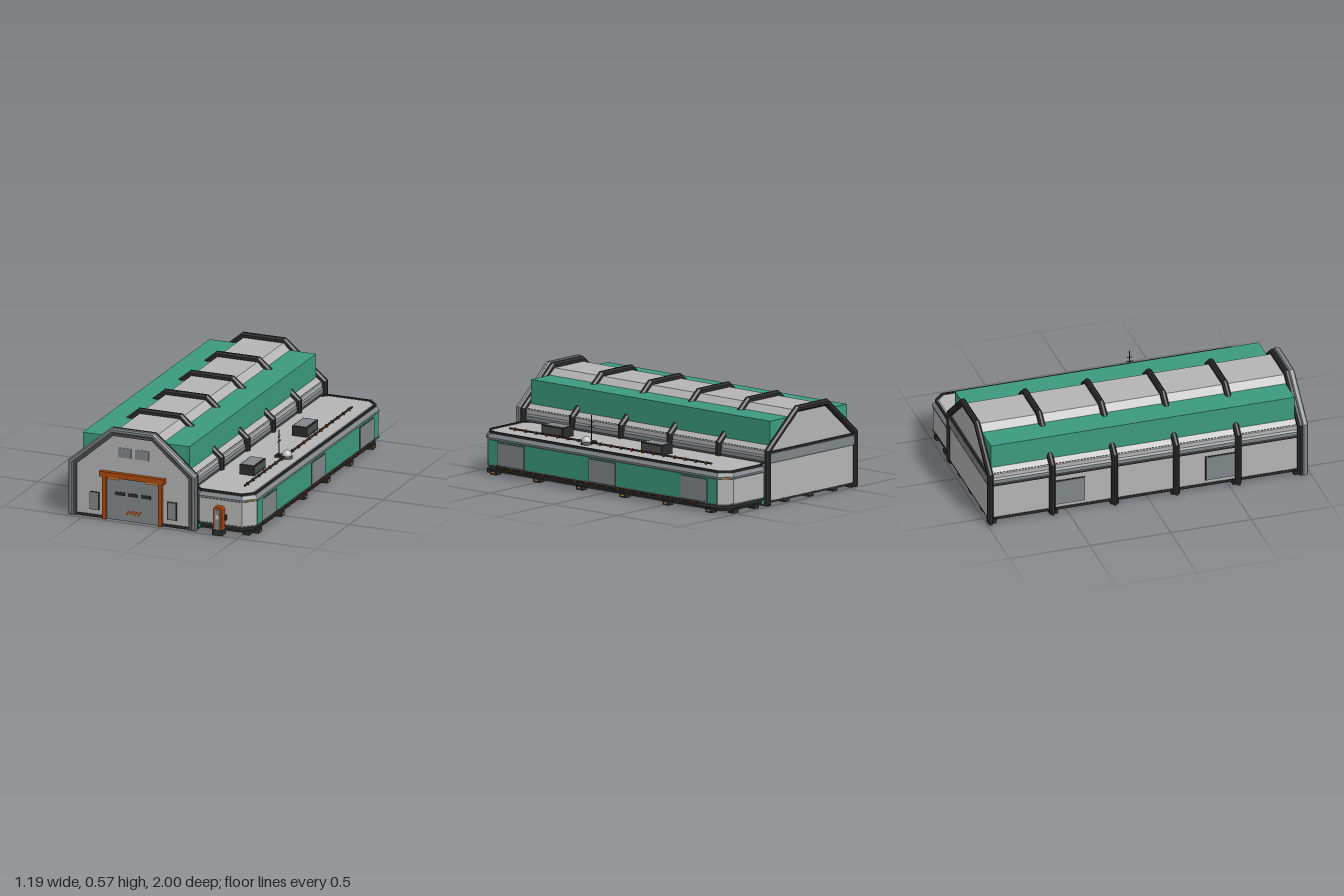
import * as THREE from 'three';

const mat = (name, color, side = THREE.FrontSide) => {
  const m = new THREE.MeshStandardMaterial({ color, side });
  m.name = name;
  return m;
};

export function createModel() {
  const light = mat('light grey panel', 0xb4b4b4);
  const mid = mat('mid grey metal', 0x80868a);
  const dark = mat('dark grey metal', 0x4c504f);
  const black = mat('black trim', 0x2b2b2c);
  const green = mat('green cladding', 0x3c9a7e);
  const orange = mat('orange steel', 0xaa480c);
  const amber = mat('amber lamp', 0xd08c38);
  const pale = mat('pale dome', 0xc4c6c8);

  const root = new THREE.Group();
  root.name = 'hangar';
  const add = (name, geo, m, parent = root) => {
    const mesh = new THREE.Mesh(geo, m);
    mesh.name = name;
    parent.add(mesh);
    return mesh;
  };
  // box given by its limits on each axis
  const box = (name, m, x0, x1, y0, y1, z0, z1, parent = root) => {
    const mesh = add(name, new THREE.BoxGeometry(x1 - x0, y1 - y0, z1 - z0), m, parent);
    mesh.position.set((x0 + x1) / 2, (y0 + y1) / 2, (z0 + z1) / 2);
    return mesh;
  };
  const group = (name, x = 0) => {
    const g = new THREE.Group();
    g.name = name;
    g.position.x = x;
    root.add(g);
    return g;
  };
  const extrude = (pts, z0, z1, b = 0) => {
    const g = new THREE.ExtrudeGeometry(new THREE.Shape(pts.map(p => new THREE.Vector2(...p))), {
      depth: z1 - z0 - 2 * b, bevelEnabled: b > 0, bevelThickness: b, bevelSize: b,
      bevelOffset: -b, bevelSegments: 1,
    });
    return g.translate(0, 0, z0 + b);
  };

  // ---------- main hall, built around its own centre line ----------
  const hall = group('mainHall', -0.187);

  // six-sided gable outline, moved inward by t
  const arch = (t, y0 = 0) => {
    const w = 0.41 - t, e = 0.34 - 0.47 * t, a = 0.14 - 0.36 * t, h = 0.57 - t;
    return [[w, y0], [w, e], [a, h], [-a, h], [-w, e], [-w, y0]];
  };
  const ring = (t0, t1) => [...arch(t0), ...arch(t1).reverse()];

  add('hallBody', extrude(arch(0.033, 0.022), -0.975, 0.945), light, hall);
  box('hallFloor', green, -0.372, 0.372, 0.016, 0.022, -0.98, 0.95, hall);
  box('hallSkirt', black, -0.381, 0.381, 0.02, 0.036, -0.985, 0.94, hall);

  const ribZ = [-0.98, -0.595, -0.21, 0.172, 0.556, 0.94];
  ribZ.forEach(z => add('roofRib', extrude(ring(0.004, 0.042), z - 0.018, z + 0.018, 0.011), black, hall));

  for (const s of [-1, 1]) {
    const x = (a, b) => s > 0 ? [a, b] : [-b, -a];
    box('roofCladding', green, ...x(0.165, 0.342), 0.33, 0.5, -0.96, 0.92, hall);
    box('eaveTrim', black, ...x(0.345, 0.372), 0.314, 0.33, -0.97, 0.94, hall);
    const band = [[0.37, 0.255], [0.386, 0.265], [0.386, 0.288], [0.365, 0.315], [0.35, 0.315]];
    add('eaveBand', extrude(band.map(([a, b]) => [s * a, b]), -0.975, 0.94), mid, hall);
    box('eaveLine', dark, ...x(0.37, 0.388), 0.25, 0.257, -0.975, 0.94, hall);
  }
  // side wall shutters
  for (const z of [-0.49, 0.455]) {
    box('shutterFrame', black, -0.381, -0.375, 0.055, 0.215, z - 0.1, z + 0.1, hall);
    box('shutter', mid, -0.384, -0.378, 0.06, 0.21, z - 0.095, z + 0.095, hall);
  }
  // rear wall bands
  box('rearWall', light, -0.372, 0.372, 0.03, 0.26, -0.985, -0.97, hall);
  box('rearBand', mid, -0.376, 0.376, 0.26, 0.312, -0.992, -0.97, hall);
  box('rearTrim', black, -0.372, 0.372, 0.312, 0.324, -0.988, -0.97, hall);
  box('rearLine', dark, -0.374, 0.374, 0.252, 0.26, -0.989, -0.97, hall);

  // front wall and its stepped frame
  add('frontWall', extrude(arch(0.04), 0.94, 0.96), light, hall);
  add('frontFrameOuter', extrude(ring(0, 0.03), 0.948, 0.985, 0.008), mid, hall);
  add('frontFrameInner', extrude(ring(0.025, 0.048), 0.945, 0.975), dark, hall);
  for (const s of [-1, 1]) {
    const x = (a, b) => s > 0 ? [a, b] : [-b, -a];
    box('frontKick', black, ...x(0.188, 0.36), 0, 0.015, 0.95, 0.967, hall);
    box('sideDoorFrame', black, ...x(0.219, 0.28), 0.044, 0.156, 0.957, 0.964, hall);
    box('sideDoor', mid, ...x(0.224, 0.275), 0.049, 0.151, 0.96, 0.967, hall);
    box('gableWindow', mid, ...x(0.013, 0.099), 0.39, 0.45, 0.957, 0.963, hall);
    box('gatePost', orange, ...x(0.167, 0.19), 0, 0.27, 0.95, 0.983, hall);
    box('gateLamp', amber, ...x(0.088, 0.162), 0.252, 0.266, 0.955, 0.98, hall);
  }
  box('gateLintel', orange, -0.208, 0.208, 0.264, 0.296, 0.95, 0.986, hall);
  box('gate', mid, -0.168, 0.168, 0, 0.265, 0.95, 0.966, hall);
  for (const x of [-0.083, 0.001, 0.084])
    box('gateWindow', black, x - 0.031, x + 0.031, 0.155, 0.176, 0.963, 0.969, hall);
  for (let i = 0; i < 4; i++) {
    const x = -0.048 + i * 0.024;
    add('gateStripe', extrude([[x, 0.044], [x + 0.014, 0.044], [x + 0.03, 0.066], [x + 0.016, 0.066]], 0.964, 0.969), orange, hall);
  }

  // ---------- side annex: eight-sided rings stacked in y ----------
  const annex = group('annex');
  const loop = ([i, y]) => {
    const x0 = 0.19, x1 = 0.578 - i, z0 = -0.988 + i, z1 = 0.955 - i, c = 0.07 - 0.59 * i, d = 0.045;
    return [[x0 + d, z1], [x1 - c, z1], [x1, z1 - c], [x1, z0 + c], [x1 - c, z0], [x0 + d, z0],
      [x0, z0 + d], [x0, z1 - d]].map(([x, z]) => [x, y, z]);
  };
  const geoOf = tris => {
    const g = new THREE.BufferGeometry();
    g.setAttribute('position', new THREE.Float32BufferAttribute(tris.flat(), 3));
    g.computeVertexNormals();
    return g;
  };
  const loft = levels => {
    const t = [];
    for (let k = 0; k + 1 < levels.length; k++) {
      const a = loop(levels[k]), b = loop(levels[k + 1]);
      for (let i = 0; i < 8; i++) {
        const j = (i + 1) % 8;
        t.push(a[i], a[j], b[j], a[i], b[j], b[i]);
      }
    }
    return geoOf(t);
  };
  const cap = (level, up) => {
    const p = loop(level), t = [];
    for (let i = 1; i < 7; i++) t.push(p[0], ...(up ? [p[i], p[i + 1]] : [p[i + 1], p[i]]));
    return geoOf(t);
  };
  add('annexFloor', cap([0.035, 0.016], false), green, annex);
  add('annexSkirt', loft([[0.035, 0.016], [0.02, 0.016], [0.02, 0.028], [0.03, 0.028]]), black, annex);
  add('annexBase', loft([[0.026, 0.028], [0, 0.05], [0, 0.058]]), dark, annex);
  add('annexWall', loft([[0.004, 0.058], [0.004, 0.212]]), light, annex);
  add('annexCornice', loft([[0.004, 0.208], [-0.002, 0.212], [-0.002, 0.222], [0.016, 0.246]]), mid, annex);
  add('annexLip', loft([[0.014, 0.244], [0.014, 0.257], [0.026, 0.257], [0.026, 0.25]]), black, annex);
  add('annexRoofEdge', loft([[0.026, 0.25], [0.04, 0.254]]), mid, annex);
  add('annexRoof', cap([0.04, 0.254], true), light, annex);
  box('joint', green, 0.2, 0.238, 0.01, 0.2, -0.965, 0.93, annex);

  // outer wall cladding, shutters and lamps
  box('annexCladding', green, 0.57, 0.577, 0.06, 0.208, -0.912, 0.882, annex);
  for (const z of [-0.735, -0.015, 0.705]) {
    box('annexShutterFrame', black, 0.573, 0.5785, 0.061, 0.201, z - 0.107, z + 0.107, annex);
    box('annexShutter', mid, 0.575, 0.581, 0.065, 0.197, z - 0.103, z + 0.103, annex);
  }
  for (const z of [0.92, -0.953]) {
    const lamp = box('cornerLamp', amber, 0.523, 0.563, 0.21, 0.219, z - 0.006, z + 0.006, annex);
    lamp.rotation.y = z > 0 ? Math.PI / 4 : -Math.PI / 4;
  }

  // front door with arched orange surround and step
  add('doorSurround', extrude([[0.338, 0.02], [0.397, 0.02], [0.397, 0.16], [0.386, 0.173], [0.349, 0.173], [0.338, 0.16]], 0.945, 0.994), orange, annex);
  box('door', mid, 0.351, 0.384, 0.035, 0.157, 0.988, 0.998, annex);
  box('doorWindow', pale, 0.358, 0.377, 0.1, 0.128, 0.993, 1.0, annex);
  box('doorStep', black, 0.336, 0.399, 0, 0.034, 0.94, 1.0, annex);
  box('doorPanel', black, 0.4, 0.409, 0.088, 0.122, 0.945, 0.965, annex);

  // pipes with orange clips
  const pipe = (name, x, y, z0, z1, r) => {
    const p = add(name, new THREE.CylinderGeometry(r, r, z1 - z0, 8), black, annex);
    p.rotation.x = Math.PI / 2;
    p.position.set(x, y, (z0 + z1) / 2);
    for (let i = 0; i < 19; i++) {
      const z = z0 + (i + 0.5) * (z1 - z0) / 19;
      box('pipeClip', orange, x - r - 0.002, x + r + 0.002, y - 0.009, y + r + 0.001, z - 0.004, z + 0.004, annex);
    }
  };
  pipe('roofPipe', 0.465, 0.268, -0.775, 0.815, 0.006);
  pipe('wallPipe', 0.584, 0.05, -0.77, 0.815, 0.006);

  // roof vents
  for (const z of [-0.27, 0.51]) {
    box('ventBox', black, 0.335, 0.43, 0.25, 0.314, z - 0.083, z + 0.083, annex);
    box('ventTop', mid, 0.342, 0.423, 0.31, 0.316, z - 0.075, z + 0.075, annex);
    box('ventSide', dark, 0.426, 0.432, 0.268, 0.308, z - 0.075, z + 0.075, annex);
  }

  // dome and antenna mast
  add('domeBase', new THREE.CylinderGeometry(0.031, 0.034, 0.018, 16), dark, annex).position.set(0.472, 0.263, 0.205);
  add('dome', new THREE.SphereGeometry(0.03, 20, 12), pale, annex).position.set(0.472, 0.273, 0.205);
  box('mastBase', black, 0.402, 0.445, 0.25, 0.268, 0.185, 0.225, annex);
  add('mast', new THREE.CylinderGeometry(0.003, 0.003, 0.16, 6), black, annex).position.set(0.422, 0.342, 0.207);
  box('mastBar', black, 0.42, 0.424, 0.35, 0.354, 0.185, 0.229, annex);
  box('mastBar', black, 0.42, 0.424, 0.378, 0.382, 0.192, 0.222, annex);

  // ---------- feet ----------
  const foot = (x, z) => box('foot', black, x - 0.022, x + 0.022, 0, 0.026, z - 0.025, z + 0.025);
  for (let i = 0; i < 6; i++) {
    const z = -0.85 + i * 0.339;
    foot(0.555, z);
    box('footMarker', amber, 0.572, 0.5785, 0.01, 0.017, z - 0.012, z + 0.012);
    foot(-0.555, ribZ[i] * 0.985);
    foot(0.195, ribZ[i] * 0.975);
  }
  for (const x of [-0.4, -0.187, 0.026, 0.3, 0.48]) foot(x, -0.955);
  foot(0.52, 0.9);

  return root;
}
